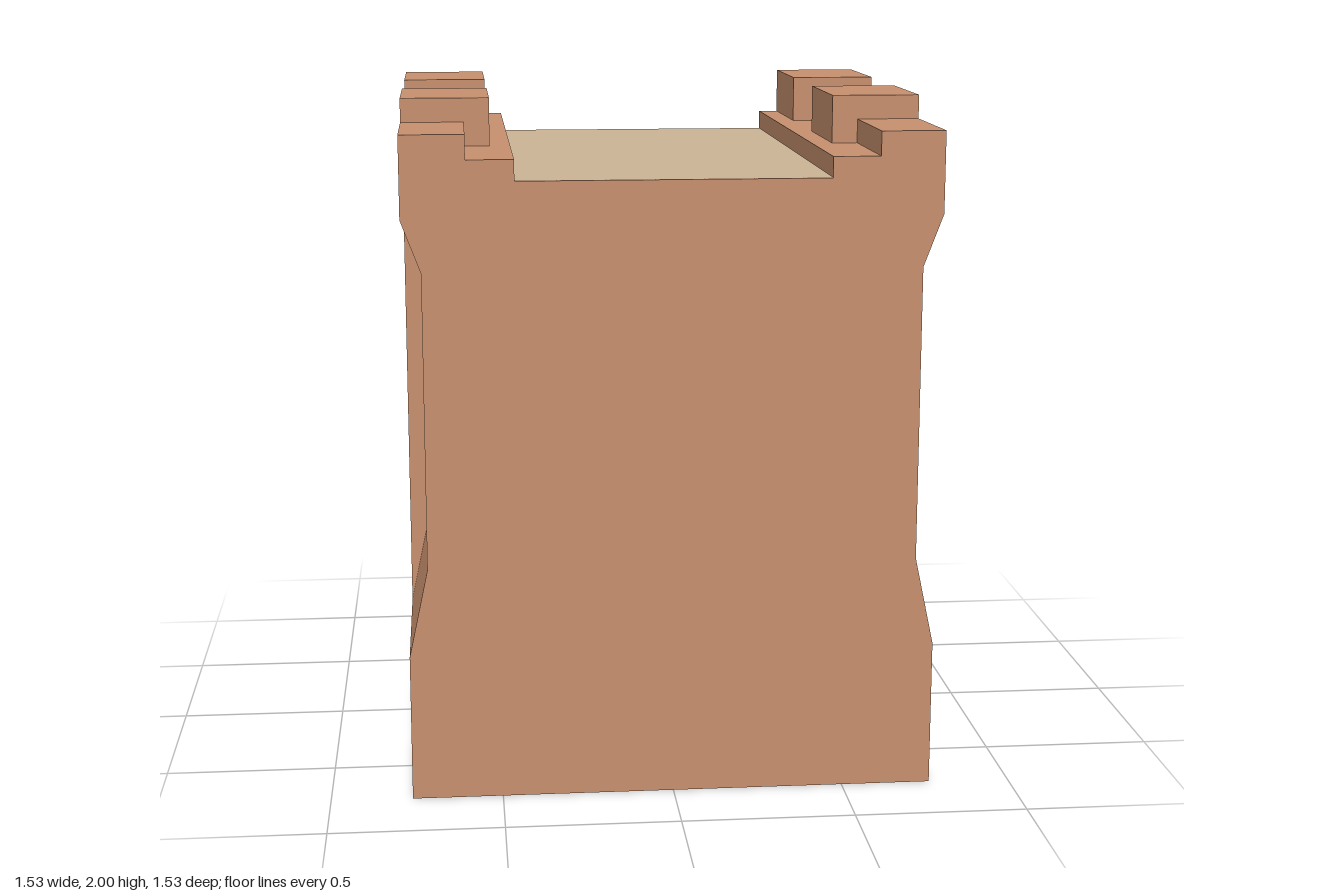
import * as THREE from 'three';

const HALF = 0.763;    // half width and half depth of the block
const INSET = 0.707;   // half width at the recessed panels
const PIER = 0.19;     // half width of the central pier

const brick = new THREE.MeshStandardMaterial({ color: 0xc68f6e });
brick.name = 'terracotta brick';
const sand = new THREE.MeshStandardMaterial({ color: 0xcab396 });
sand.name = 'sand plaster';

// Extrudes an outline in x and y between two depths
function slab(name, points, z0, z1) {
  const shape = new THREE.Shape(points.map(([x, y]) => new THREE.Vector2(x, y)));
  const geometry = new THREE.ExtrudeGeometry(shape, { depth: z1 - z0, bevelEnabled: false });
  geometry.translate(0, 0, z0);
  const mesh = new THREE.Mesh(geometry, brick);
  mesh.name = name;
  return mesh;
}

// Wall outline, with or without the side recesses, mirrored left to right
function wallOutline(recessed) {
  const waist = recessed ? [[HALF, 0.43], [INSET, 0.69], [INSET, 1.545], [HALF, 1.695]] : [];
  const right = [
    [HALF, 0], ...waist, [HALF, 1.93],
    [0.58, 1.93], [0.58, 1.86], [0.445, 1.86], [0.445, 1.8],
  ];
  return [...right, ...right.map(([x, y]) => [-x, y]).reverse()];
}

export function createModel() {
  const group = new THREE.Group();
  group.name = 'castleWallBlock';

  // Wall body: recessed front and back, full-width pier between them
  group.add(
    slab('frontWall', wallOutline(true), PIER, HALF),
    slab('centralPier', wallOutline(false), -PIER, PIER),
    slab('backWall', wallOutline(true), -HALF, -PIER),
  );

  for (const side of [-1, 1]) {
    // Merlons that wrap over the inner edge of the parapet
    const merlon = [
      [0.505, 1.86], [0.58, 1.86], [0.58, 1.93],
      [HALF, 1.93], [HALF, 2], [0.505, 2],
    ].map(([x, y]) => [side * x, y]);
    for (const [z0, z1] of [[-HALF, -0.383], [0, 0.38]]) {
      group.add(slab('merlon', merlon, z0, z1));
    }

    // Plaster faces in the side recesses
    for (const end of [-1, 1]) {
      const panel = new THREE.Mesh(new THREE.PlaneGeometry(HALF - PIER, 0.855), sand);
      panel.name = 'recessPanel';
      panel.rotation.y = side * Math.PI / 2;
      panel.position.set(side * (INSET + 0.0015), 1.1175, end * (HALF + PIER) / 2);
      group.add(panel);
    }
  }

  // Walkway between the parapets
  const walkway = new THREE.Mesh(new THREE.PlaneGeometry(0.89, 2 * HALF), sand);
  walkway.name = 'walkway';
  walkway.rotation.x = -Math.PI / 2;
  walkway.position.y = 1.8015;
  group.add(walkway);

  return group;
}
